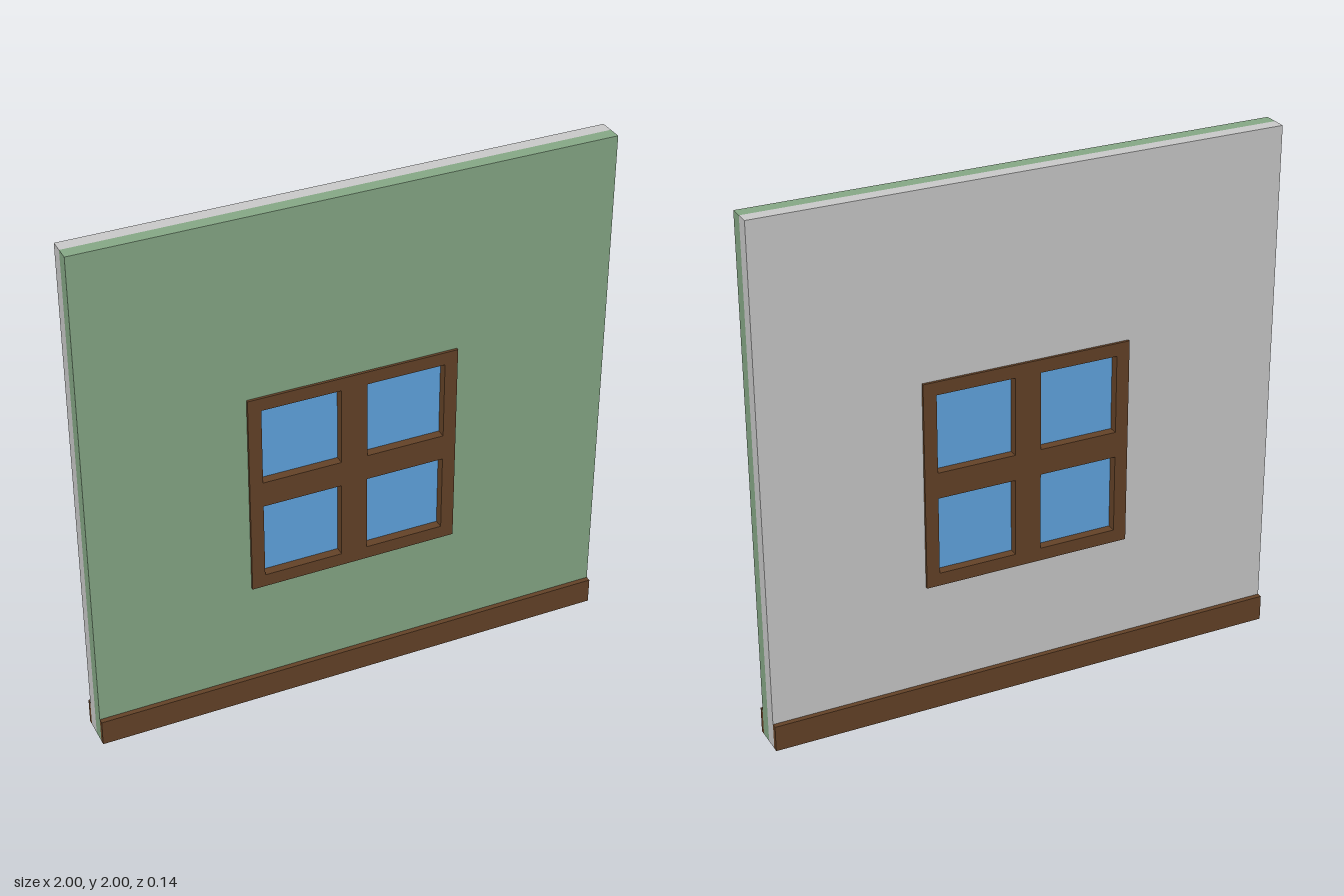
import * as THREE from 'three';

const mat = (color) => new THREE.MeshStandardMaterial({ color });

// Closed rectangle, corners counter-clockwise
function rect(Type, x0, y0, x1, y1) {
  return new Type([[x0, y0], [x1, y0], [x1, y1], [x0, y1]].map(([x, y]) => new THREE.Vector2(x, y)));
}

// Flat panel with rectangular openings, spanning z0..z1
function panel(name, outer, holes, z0, z1, material) {
  const shape = rect(THREE.Shape, ...outer);
  for (const h of holes) shape.holes.push(rect(THREE.Path, ...h));
  const geometry = new THREE.ExtrudeGeometry(shape, { depth: z1 - z0, bevelEnabled: false });
  geometry.translate(0, 0, z0);
  const mesh = new THREE.Mesh(geometry, material);
  mesh.name = name;
  return mesh;
}

export function createModel() {
  const group = new THREE.Group();
  group.name = 'windowWall';
  const green = mat(0x88aa88);
  const grey = mat(0xcccccc);
  const wood = mat(0x654328);
  const blue = mat(0x62a8e4);

  // Two wall layers: painted front, plain back
  const wall = [-1, 0, 1, 2];
  const opening = [-0.4, 0.5, 0.4, 1.3];
  group.add(panel('frontWallLayer', wall, [opening], 0, 0.05, green));
  group.add(panel('backWallLayer', wall, [opening], -0.05, 0, grey));

  // Window frame with crossing bars leaves four panes
  const panes = [];
  for (const x of [-0.35, 0.05]) {
    for (const y of [0.55, 0.95]) panes.push([x, y, x + 0.3, y + 0.3]);
  }
  group.add(panel('windowFrame', opening, panes, -0.06, 0.06, wood));

  // Recessed glass
  for (const p of panes) group.add(panel('windowPane', p, [], -0.025, 0.025, blue));

  // Baseboards on both faces
  for (const [name, z] of [['frontBaseboard', 0.06], ['backBaseboard', -0.06]]) {
    const board = new THREE.Mesh(new THREE.BoxGeometry(2, 0.1, 0.02), wood);
    board.name = name;
    board.position.set(0, 0.05, z);
    group.add(board);
  }
  return group;
}
